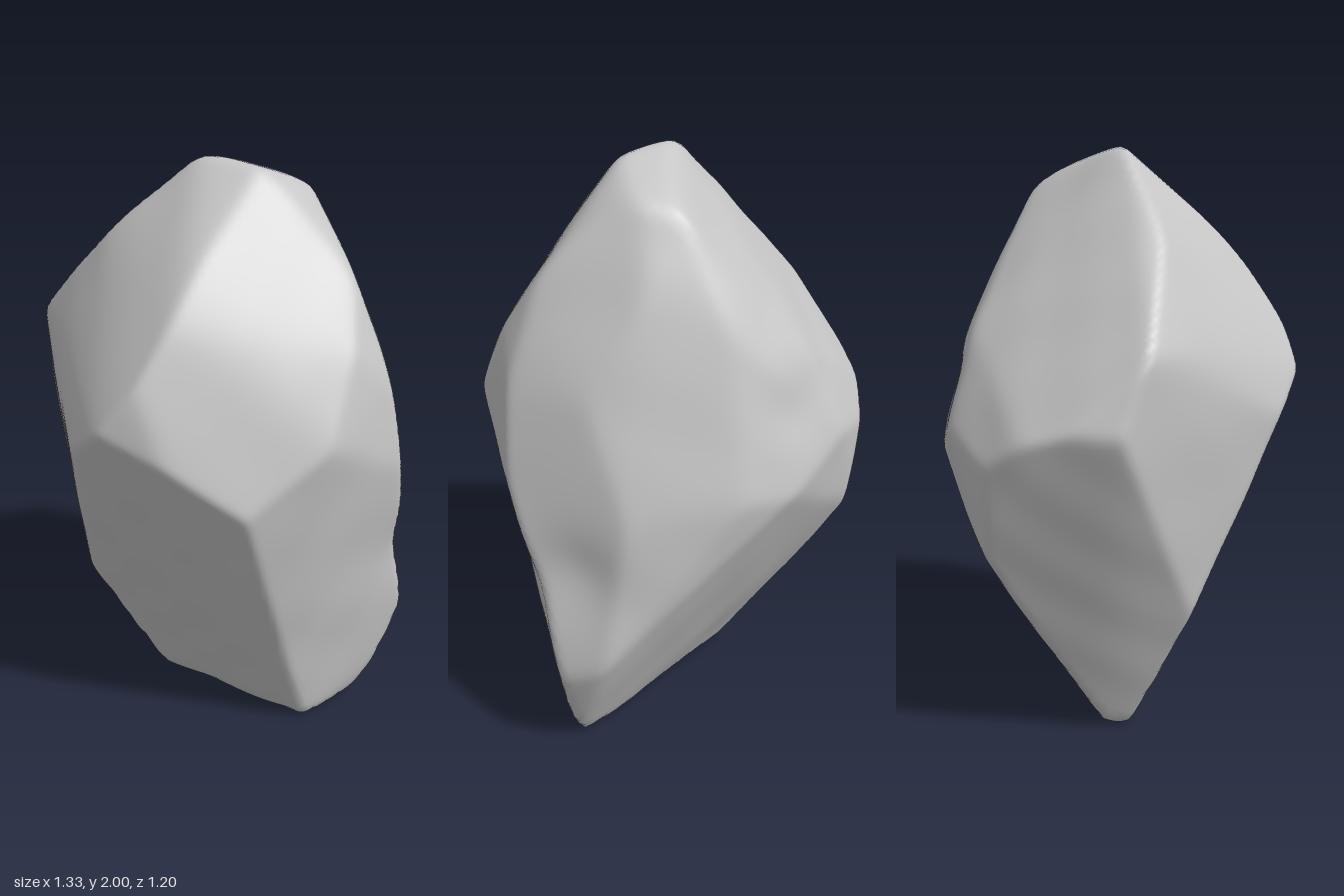
import * as THREE from 'three';
import { ConvexGeometry } from 'three/addons/geometries/ConvexGeometry.js';
import { mergeVertices } from 'three/addons/utils/BufferGeometryUtils.js';

// Corners of the rough-cut stone, grouped by region.
const corners = [
  // narrow foot
  [-0.19, 0.01, 0.05], [-0.2, 0.01, -0.03], [0.42, 0, 0.01], [0.48, 0, -0.24],
  // lower right flank
  [0.55, 0.14, -0.28], [0.5, 0.43, -0.45], [0.605, 0.38, -0.34],
  [0.665, 1.02, -0.15], [0.59, 1.22, 0.2], [0.43, 1.03, 0.42],
  // front overhang
  [-0.34, 0.5, 0.27], [-0.16, 1.14, 0.54], [0.0, 1.26, 0.605], [0.22, 1.18, 0.54],
  // left shoulder
  [-0.67, 1.17, 0.07], [-0.67, 1.19, -0.1], [-0.63, 1.15, -0.23], [-0.5, 0.74, -0.39],
  [-0.61, 1.41, 0.14], [-0.46, 1.4, 0.26],
  // ridge from the left shoulder to the crown
  [-0.45, 1.56, 0.16], [-0.3, 1.73, 0.17], [-0.15, 1.87, 0.1],
  // back bulge
  [-0.1, 0.99, -0.605], [0.07, 1.02, -0.59], [0.42, 0.98, -0.45], [-0.35, 1.12, -0.525],
  [-0.55, 1.06, -0.37], [-0.12, 1.35, -0.53], [-0.25, 1.4, -0.46], [0.05, 1.5, -0.47],
  // upper back right
  [0.29, 1.6, -0.35], [0.47, 1.35, -0.31], [0.63, 1.32, -0.1], [0.57, 1.48, 0.05],
  // crown
  [0.49, 1.66, -0.08], [0.3, 1.86, -0.13], [0.24, 1.89, -0.22], [0.12, 1.85, -0.31],
  [0.1, 1.94, -0.16], [0.18, 1.975, -0.02], [-0.05, 1.99, 0.02],
  // front of the crown
  [0.12, 1.43, 0.54], [0.15, 1.58, 0.44], [0.16, 1.74, 0.28],
].map((p) => new THREE.Vector3(...p));

// Shallow hollows: position, depth and radius
const hollows = [
  [new THREE.Vector3(0.58, 0.72, -0.36), 0.045, 0.18],
  [new THREE.Vector3(-0.14, 1.27, -0.53), 0.02, 0.12],
];

const centre = new THREE.Vector3(0.03, 1.02, -0.02);

// Face planes of the hull, with distances measured from the centre.
function hullPlanes() {
  const pos = new ConvexGeometry(corners).getAttribute('position');
  const planes = [];
  for (let i = 0; i < pos.count; i += 3) {
    const [a, b, c] = [0, 1, 2].map((k) => new THREE.Vector3().fromBufferAttribute(pos, i + k));
    const tri = new THREE.Triangle(a, b, c);
    if (tri.getArea() < 1e-5) continue;
    const normal = tri.getNormal(new THREE.Vector3());
    planes.push({ normal, dist: normal.dot(a.sub(centre)) });
  }
  return planes;
}

// Gentle lumps on the surface
function lumps(p) {
  return 0.004 * Math.sin(9 * p.x + 5 * p.y + 1) * Math.sin(8 * p.z - 6 * p.y)
    + 0.003 * Math.sin(17 * p.x - 7 * p.z + 2) * Math.sin(15 * p.y + 9 * p.z);
}

// Sphere pushed out to the hull, with slightly worn edges
function stoneGeometry() {
  const planes = hullPlanes();
  const sphere = new THREE.IcosahedronGeometry(1, 44);
  sphere.deleteAttribute('normal');
  sphere.deleteAttribute('uv');
  const geo = mergeVertices(sphere, 1e-5);
  const pos = geo.getAttribute('position');
  const dir = new THREE.Vector3();
  const p = new THREE.Vector3();
  const sharpness = 110;
  const wearAllowance = 1.01;
  for (let i = 0; i < pos.count; i++) {
    dir.fromBufferAttribute(pos, i).normalize();
    let sum = 0;
    for (const { normal, dist } of planes) {
      const t = normal.dot(dir) / dist;
      if (t > 0) sum += Math.pow(t, sharpness);
    }
    p.copy(dir).multiplyScalar(wearAllowance * Math.pow(sum, -1 / sharpness));
    p.multiplyScalar(1 + lumps(p)).add(centre);
    for (const [spot, depth, radius] of hollows) {
      const fall = Math.exp(-p.distanceToSquared(spot) / (radius * radius));
      p.addScaledVector(dir, -depth * fall);
    }
    pos.setXYZ(i, p.x, p.y, p.z);
  }

  // Stand it on the ground
  geo.computeBoundingBox();
  geo.translate(0, -geo.boundingBox.min.y, 0);
  geo.computeVertexNormals();
  return geo;
}

export function createModel() {
  const stone = new THREE.MeshStandardMaterial({ color: 0xc6c6c6 });
  stone.name = 'stone grey';
  const boulder = new THREE.Mesh(stoneGeometry(), stone);
  boulder.name = 'boulder';
  const group = new THREE.Group();
  group.name = 'rock';
  group.add(boulder);
  return group;
}
